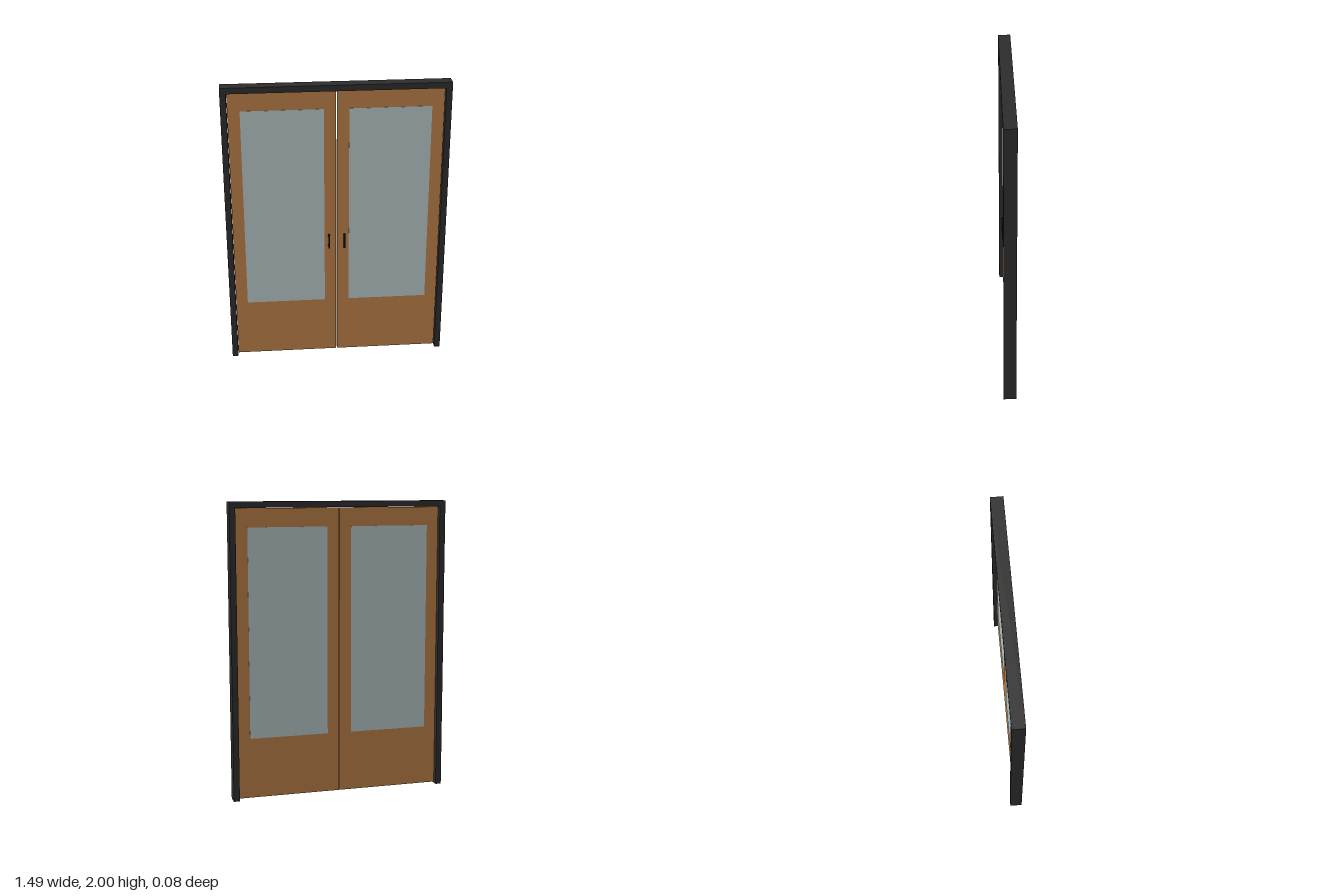
import * as THREE from 'three';

const material = (name, color) => {
  const m = new THREE.MeshStandardMaterial({ color });
  m.name = name;
  return m;
};

export function createModel() {
  const charcoal = material('charcoal frame', 0x2d2d2e);
  const wood = material('warm wood', 0xb87c47);
  const glass = material('pale glass', 0xb2c1c1);
  const black = material('black metal', 0x141414);

  const model = new THREE.Group();
  model.name = 'doubleDoor';

  // Box given by its low and high corners
  const box = (parent, name, mat, [x0, y0, z0], [x1, y1, z1]) => {
    const mesh = new THREE.Mesh(new THREE.BoxGeometry(x1 - x0, y1 - y0, z1 - z0), mat);
    mesh.position.set((x0 + x1) / 2, (y0 + y1) / 2, (z0 + z1) / 2);
    mesh.name = name;
    parent.add(mesh);
  };

  const W = 0.747, IN = 0.707, D = 0.042; // frame half width, inner half width, half depth
  const T = 0.013; // door half thickness

  // Frame: lintel over two jambs
  box(model, 'lintel', charcoal, [-W, 1.96, -D], [W, 2, D]);

  for (const s of [-1, 1]) {
    const side = s > 0 ? 'left' : 'right';
    const span = (a, b) => (s > 0 ? [a, b] : [-b, -a]);
    const part = (parent, name, mat, xa, xb, y0, y1, z0, z1) => {
      const [x0, x1] = span(xa, xb);
      box(parent, name, mat, [x0, y0, z0], [x1, y1, z1]);
    };

    part(model, side + 'Jamb', charcoal, IN, W, 0, 1.96, -D, D);

    const door = new THREE.Group();
    door.name = side + 'Door';
    model.add(door);

    // Door leaf: stiles and rails around the window opening, in one extrusion
    const rect = (Type, xa, xb, y0, y1) => {
      const [x0, x1] = span(xa, xb);
      return new Type([[x0, y0], [x1, y0], [x1, y1], [x0, y1]].map(p => new THREE.Vector2(...p)));
    };
    const outline = rect(THREE.Shape, 0.003, 0.704, 0.01, 1.957);
    outline.holes.push(rect(THREE.Path, 0.083, 0.624, 0.42, 1.833));
    const leafGeometry = new THREE.ExtrudeGeometry(outline, { depth: 2 * T, bevelEnabled: false });
    leafGeometry.translate(0, 0, -T);
    const leaf = new THREE.Mesh(leafGeometry, wood);
    leaf.name = side + 'DoorLeaf';
    door.add(leaf);

    // Glass pane, standing slightly proud on both faces
    part(door, side + 'GlassPane', glass, 0.083, 0.624, 0.42, 1.833, -T - 0.002, T + 0.002);

    // Pull handle on two short posts, front only
    const handle = new THREE.Group();
    handle.name = side + 'Handle';
    door.add(handle);
    part(handle, 'grip', black, 0.047, 0.058, 0.832, 0.937, 0.027, 0.037);
    for (const y of [0.842, 0.917]) {
      part(handle, 'post', black, 0.047, 0.058, y, y + 0.01, T, 0.028);
    }
  }
  return model;
}
